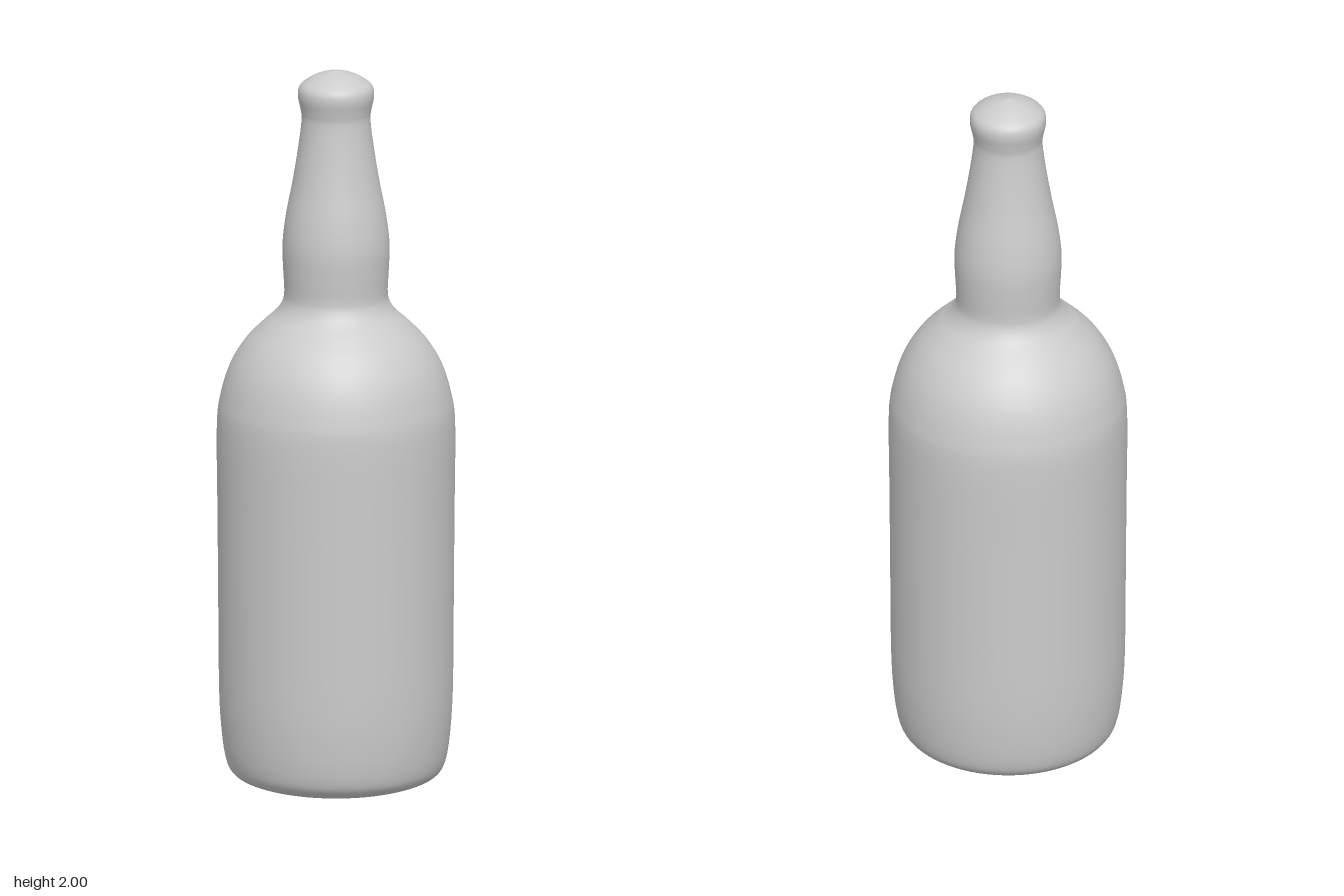
import * as THREE from 'three';

const material = new THREE.MeshStandardMaterial({ color: 0xcccccc });

// Smooth surface of revolution through a few [radius, height] points
function turned(name, points, samples) {
  const curve = new THREE.SplineCurve(points.map(([r, y]) => new THREE.Vector2(r, y)));
  const profile = curve.getPoints(samples);
  profile.forEach((p) => p.set(Math.max(0, p.x), THREE.MathUtils.clamp(p.y, 0, 2)));
  const mesh = new THREE.Mesh(new THREE.LatheGeometry(profile, 72), material);
  mesh.name = name;
  return mesh;
}

export function createModel() {
  const group = new THREE.Group();
  group.name = 'bottle';

  group.add(turned('bottle', [
    // base and rounded heel
    [0, 0.004], [0.1, 0.003], [0.19, 0.003], [0.245, 0.013], [0.285, 0.035], [0.303, 0.08],
    // straight body
    [0.314, 0.17], [0.319, 0.28], [0.321, 0.5], [0.323, 0.75], [0.325, 1.0],
    // shoulder
    [0.314, 1.09], [0.289, 1.17], [0.25, 1.235], [0.203, 1.285], [0.165, 1.32], [0.146, 1.35],
    // bulging neck
    [0.141, 1.38], [0.144, 1.44], [0.146, 1.51], [0.137, 1.59], [0.118, 1.69],
    [0.102, 1.79], [0.094, 1.86],
    // lip and domed cap
    [0.097, 1.89], [0.104, 1.925], [0.101, 1.95], [0.085, 1.967], [0.05, 1.986], [0, 2],
  ], 150));

  return group;
}
